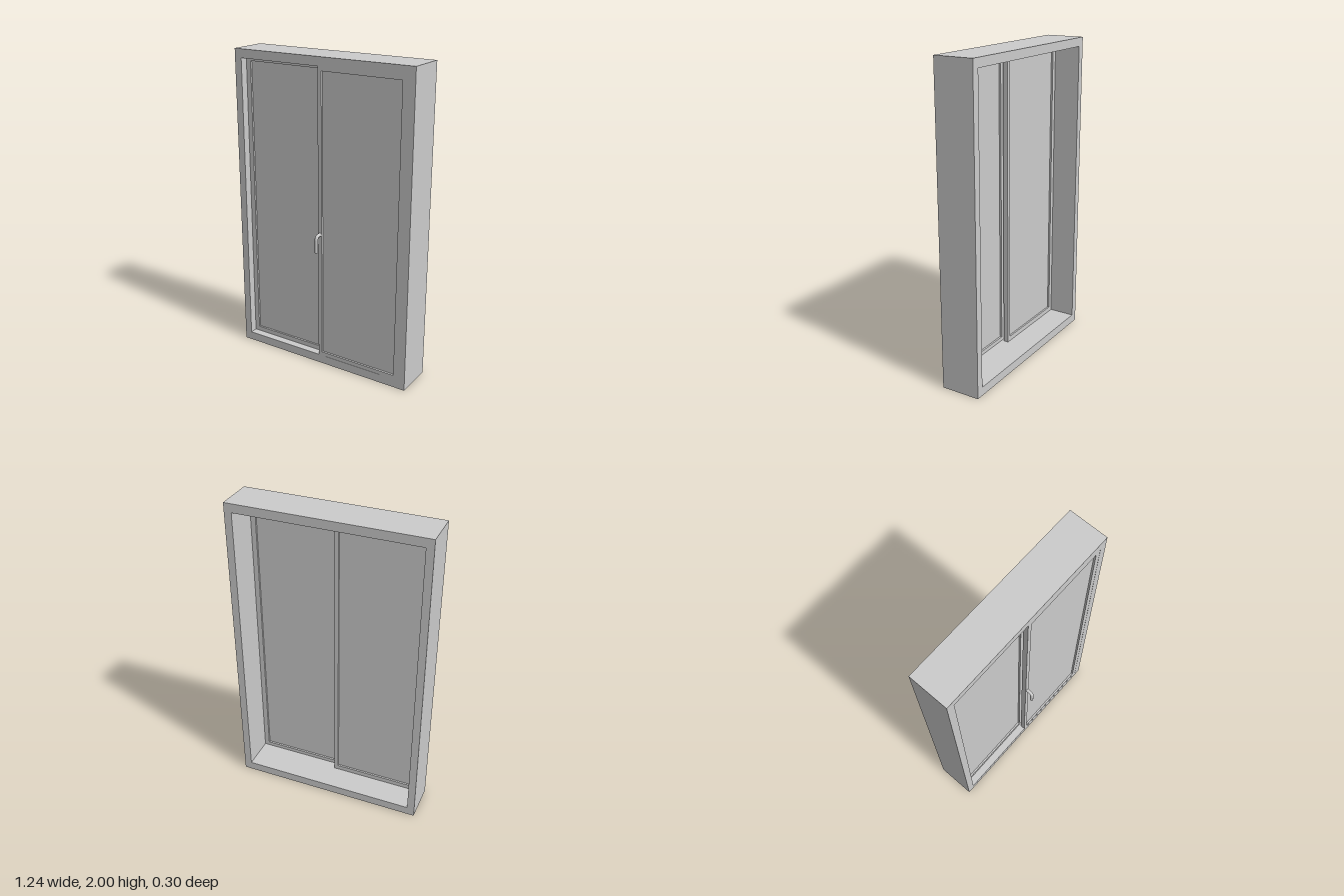
import * as THREE from 'three';

const mat = new THREE.MeshStandardMaterial({ color: 0xcccccc });

function rect(Type, x0, x1, y0, y1) {
  const r = new Type();
  r.moveTo(x0, y0);
  r.lineTo(x1, y0);
  r.lineTo(x1, y1);
  r.lineTo(x0, y1);
  r.closePath();
  return r;
}

// Rectangular ring; outer and inner are [x0, x1, y0, y1], extruded from z0 to z1
function ring(name, outer, inner, z0, z1) {
  const shape = rect(THREE.Shape, ...outer);
  shape.holes.push(rect(THREE.Path, ...inner));
  const geo = new THREE.ExtrudeGeometry(shape, { depth: z1 - z0, bevelEnabled: false });
  geo.translate(0, 0, z0);
  const mesh = new THREE.Mesh(geo, mat);
  mesh.name = name;
  return mesh;
}

// Sliding sash: a slim ring around a thin pane
function sash(name, outer, inner, z0, z1) {
  const group = new THREE.Group();
  group.name = name;
  const [x0, x1, y0, y1] = inner;
  const pane = new THREE.Mesh(new THREE.BoxGeometry(x1 - x0, y1 - y0, 0.008), mat);
  pane.name = 'pane';
  pane.position.set((x0 + x1) / 2, (y0 + y1) / 2, (z0 + z1) / 2);
  group.add(ring('sashFrame', outer, inner, z0, z1), pane);
  return group;
}

// Lever handle: a bent rod with flat ends
function handle() {
  const group = new THREE.Group();
  group.name = 'handle';
  const r = 0.011, y = 0.904, z = 0.141, bend = 0.026;
  const path = new THREE.CurvePath();
  const p = (py, pz) => new THREE.Vector3(0, py, pz);
  path.add(new THREE.LineCurve3(p(y, 0.085), p(y, z - bend)));
  path.add(new THREE.QuadraticBezierCurve3(p(y, z - bend), p(y, z), p(y - bend, z)));
  path.add(new THREE.LineCurve3(p(y - bend, z), p(0.797, z)));
  const rod = new THREE.Mesh(new THREE.TubeGeometry(path, 40, r, 20), mat);
  rod.name = 'handleRod';
  const cap = new THREE.Mesh(new THREE.CircleGeometry(r, 20), mat);
  cap.name = 'handleEnd';
  cap.rotation.x = Math.PI / 2;
  cap.position.set(0, 0.797, z);
  group.add(rod, cap);
  return group;
}

export function createModel() {
  const model = new THREE.Group();
  model.name = 'slidingDoor';
  // Deep outer frame
  model.add(ring('outerFrame', [-0.622, 0.622, 0, 2], [-0.574, 0.574, 0.056, 1.944], -0.152, 0.102));
  // Front sash nearly flush with the frame, rear sash one track behind it
  model.add(sash('frontSash', [-0.013, 0.574, 0.056, 1.944], [0.013, 0.542, 0.082, 1.918], 0.068, 0.101));
  model.add(sash('rearSash', [-0.574, 0.013, 0.056, 1.944], [-0.542, -0.013, 0.087, 1.923], 0.02, 0.052));
  model.add(handle());
  return model;
}
